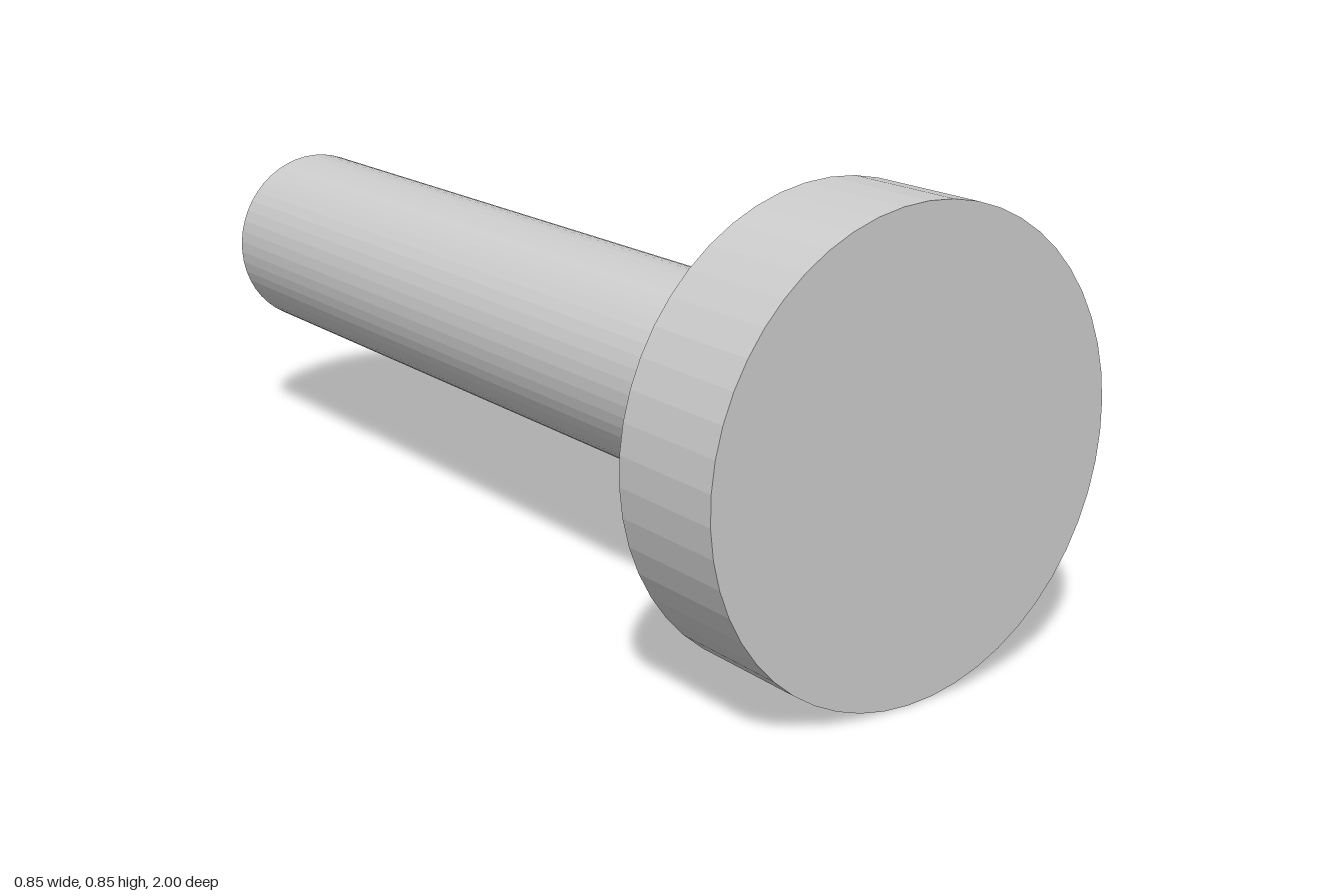
import * as THREE from 'three';

const SIDES = 50;
const AXIS_Y = 0.427; // height of the shared axis

// Faceted cylinder lying along z between two depths
function rod(name, radius, zBack, zFront, material) {
  const geometry = new THREE.CylinderGeometry(radius, radius, zFront - zBack, SIDES);
  geometry.rotateX(Math.PI / 2);
  const mesh = new THREE.Mesh(geometry, material);
  mesh.name = name;
  mesh.position.set(0, AXIS_Y, (zBack + zFront) / 2);
  return mesh;
}

export function createModel() {
  const group = new THREE.Group();
  group.name = 'pin';
  const grey = new THREE.MeshStandardMaterial({ color: 0xcccccc, flatShading: true });

  // Wide disc head at the front, slim shaft running to the back
  group.add(rod('head', 0.427, 0.767, 1, grey));
  group.add(rod('shaft', 0.19, -1, 0.767, grey));
  return group;
}
